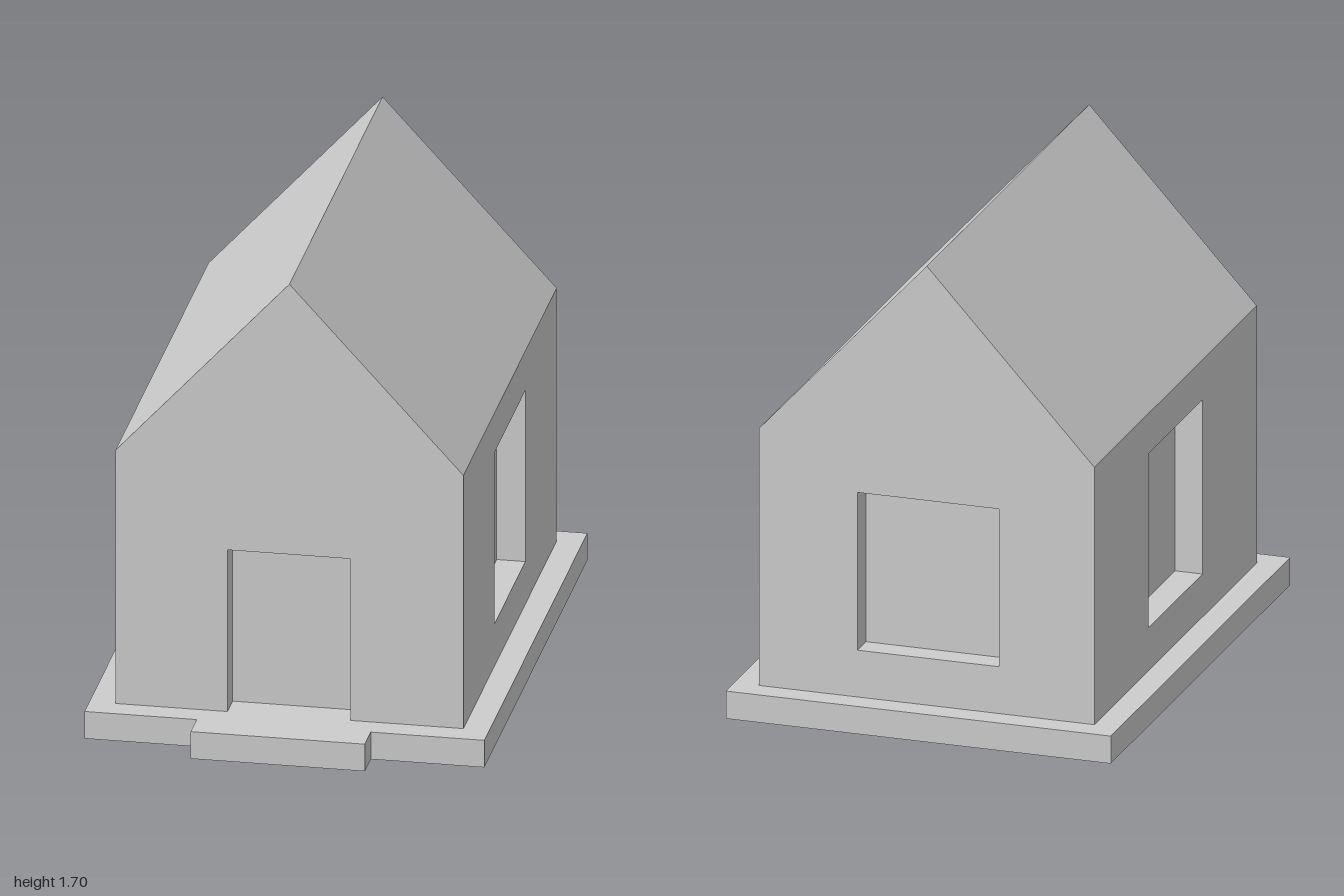
import * as THREE from 'three';

const HALF = 0.605, FRONT = 0.80, BACK = -0.91; // house footprint
const BASE = 0.1, EAVE = 1.035, RIDGE = 1.695;

const polygon = (Type, pts) => new Type(pts.map(([x, y]) => new THREE.Vector2(x, y)));
const rect = (x0, x1, y0, y1) => [[x0, y0], [x1, y0], [x1, y1], [x0, y1]];

export function createModel() {
  const plaster = new THREE.MeshStandardMaterial({ color: 0xcccccc });
  plaster.name = 'plain grey';
  const model = new THREE.Group();
  model.name = 'house';

  const add = (parent, name, geometry) => {
    const mesh = new THREE.Mesh(geometry, plaster);
    mesh.name = name;
    parent.add(mesh);
    return mesh;
  };

  // Inward-facing box, open at the front (and at the bottom for a door)
  const recess = (x0, x1, y0, y1, depth, openBottom) => {
    const box = new THREE.BoxGeometry(x1 - x0, y1 - y0, depth).scale(1, 1, -1);
    const index = Array.from(box.index.array);
    index.splice(30, 6);
    if (openBottom) index.splice(18, 6);
    box.setIndex(index);
    box.clearGroups();
    box.computeVertexNormals();
    return box.translate((x0 + x1) / 2, (y0 + y1) / 2, -depth / 2);
  };

  // Wall drawn in its own plane, facing +z before it is turned
  const wall = (name, outline, opening, depth, isDoor) => {
    const group = new THREE.Group();
    group.name = name;
    const shape = polygon(THREE.Shape, outline);
    if (!isDoor) shape.holes.push(polygon(THREE.Path, rect(...opening)));
    add(group, name + 'Face', new THREE.ShapeGeometry(shape));
    add(group, isDoor ? 'doorRecess' : 'windowRecess', recess(...opening, depth, isDoor));
    model.add(group);
    return group;
  };

  // Plinth with doorstep
  const plinth = polygon(THREE.Shape, [
    [-0.695, 1], [-0.695, -0.89], [-0.305, -0.89], [-0.305, -1],
    [0.3, -1], [0.3, -0.89], [0.695, -0.89], [0.695, 1],
  ]);
  add(model, 'plinth',
    new THREE.ExtrudeGeometry(plinth, { depth: BASE, bevelEnabled: false }).rotateX(-Math.PI / 2));

  // Gable walls: doorway in front, window at the back
  const gableTop = [[HALF, BASE], [HALF, EAVE], [0, RIDGE], [-HALF, EAVE], [-HALF, BASE]];
  const door = [-0.215, 0.212, BASE, 0.697];
  const front = wall('frontWall',
    [...gableTop, [door[0], BASE], [door[0], door[3]], [door[1], door[3]], [door[1], BASE]],
    door, 0.095, true);
  front.position.z = FRONT;

  const back = wall('backWall', gableTop, [-0.25, 0.26, 0.27, 0.843], 0.09, false);
  back.rotation.y = Math.PI;
  back.position.z = BACK;

  // Side walls with one window each
  for (const side of [1, -1]) {
    const span = (a, b) => (side > 0 ? [-b, -a] : [a, b]);
    const w = wall(side > 0 ? 'leftWall' : 'rightWall',
      rect(...span(BACK, FRONT), BASE, EAVE),
      [...span(-0.338, 0.229), 0.256, 0.889], 0.1, false);
    w.rotation.y = side * Math.PI / 2;
    w.position.x = side * HALF;
  }

  // Roof slopes, flush with the walls
  const slope = Math.hypot(HALF, RIDGE - EAVE);
  const pitch = Math.atan2(RIDGE - EAVE, HALF);
  for (const side of [1, -1]) {
    const roof = add(model, side > 0 ? 'leftRoof' : 'rightRoof',
      new THREE.PlaneGeometry(slope, FRONT - BACK).rotateX(-Math.PI / 2));
    roof.rotation.z = -side * pitch;
    roof.position.set(side * HALF / 2, (EAVE + RIDGE) / 2, (FRONT + BACK) / 2);
  }
  return model;
}
